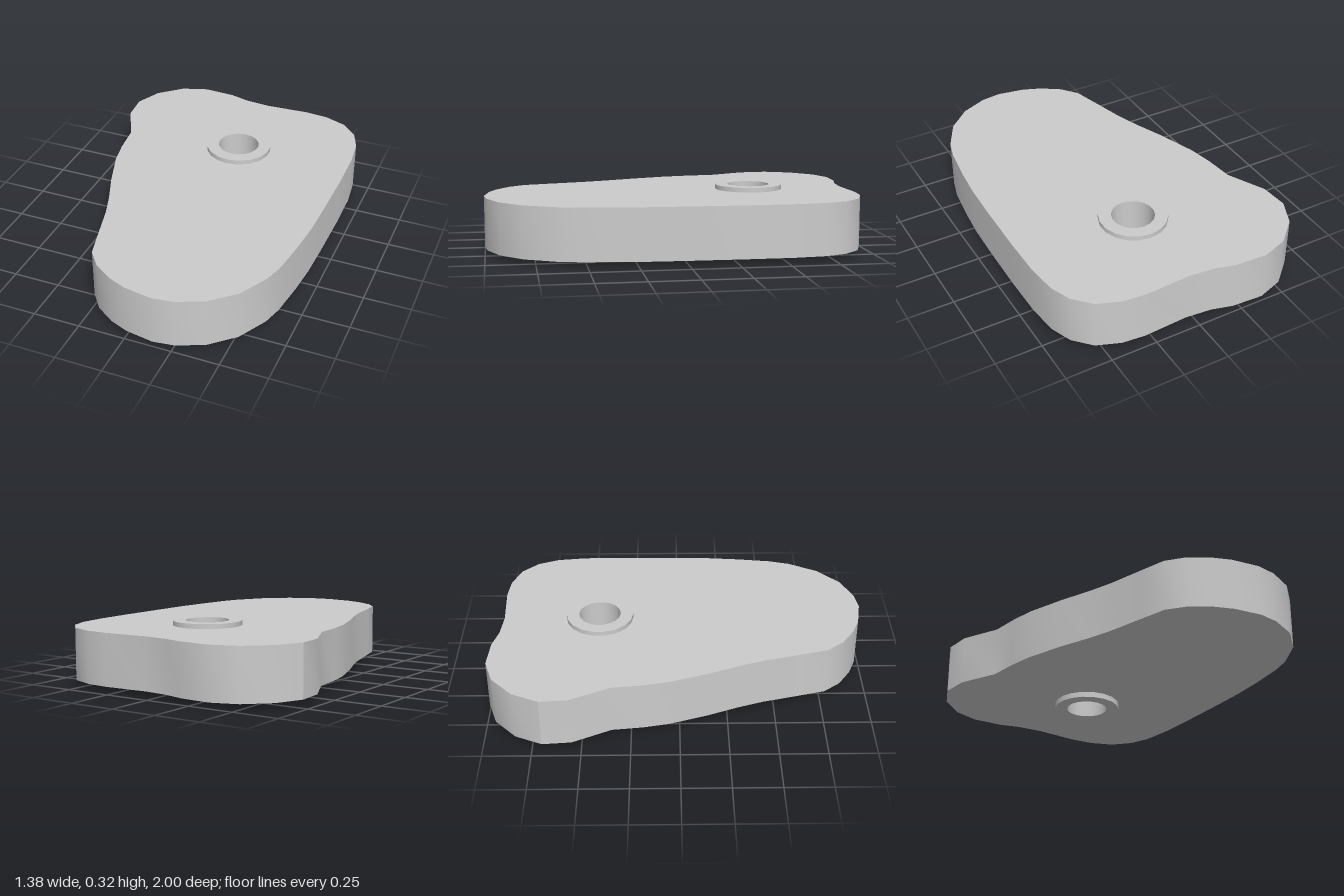
import * as THREE from 'three';
import { toCreasedNormals } from 'three/addons/utils/BufferGeometryUtils.js';

const HOLE = { x: 0.055, z: -0.427, inner: 0.113, outer: 0.181 };
const SIDES = 18;

// Plate outline as [x, z], clockwise seen from above, starting at the back
const OUTLINE = [
  [-0.37, -1], [-0.2, -0.99], [-0.09, -0.96], [0.05, -0.947], [0.29, -0.96], [0.415, -0.948],
  [0.54, -0.9], [0.625, -0.81], [0.668, -0.7], [0.687, -0.54], [0.69, -0.3], [0.686, -0.02],
  [0.68, 0.18], [0.665, 0.35], [0.64, 0.54], [0.61, 0.65], [0.525, 0.81], [0.4, 0.925],
  [0.26, 0.985], [0.15, 1], [0, 0.975], [-0.1, 0.935], [-0.2, 0.868], [-0.27, 0.78],
  [-0.305, 0.65], [-0.36, 0.44], [-0.405, 0.31], [-0.47, 0.15], [-0.54, -0.055], [-0.567, -0.19],
  [-0.585, -0.35], [-0.683, -0.55], [-0.695, -0.7], [-0.632, -0.84], [-0.51, -0.953],
];

export function createModel() {
  const group = new THREE.Group();
  const material = new THREE.MeshStandardMaterial({ color: 0xcccccc });

  const add = (name, geometry, x, y, z) => {
    const mesh = new THREE.Mesh(toCreasedNormals(geometry, 0.5), material);
    mesh.name = name;
    mesh.position.set(x, y, z);
    group.add(mesh);
  };

  // Flat plate with an opening for the bushing
  const shape = new THREE.Shape(OUTLINE.map(([x, z]) => new THREE.Vector2(x, z)));
  const opening = new THREE.Path();
  opening.absarc(HOLE.x, HOLE.z, (HOLE.inner + HOLE.outer) / 2, 0, Math.PI * 2, true);
  shape.holes.push(opening);
  const plate = new THREE.ExtrudeGeometry(shape, { depth: 0.27, bevelEnabled: false, curveSegments: SIDES });
  plate.rotateX(Math.PI / 2);
  add('plate', plate, 0, 0.3, 0);

  // Bushing running through the plate, slightly proud on both sides
  const { inner, outer } = HOLE;
  const profile = [[inner, 0], [outer, 0], [outer, 0.325], [inner, 0.325], [inner, 0]]
    .map(([r, y]) => new THREE.Vector2(r, y));
  add('bushing', new THREE.LatheGeometry(profile, SIDES), HOLE.x, 0, HOLE.z);

  return group;
}
